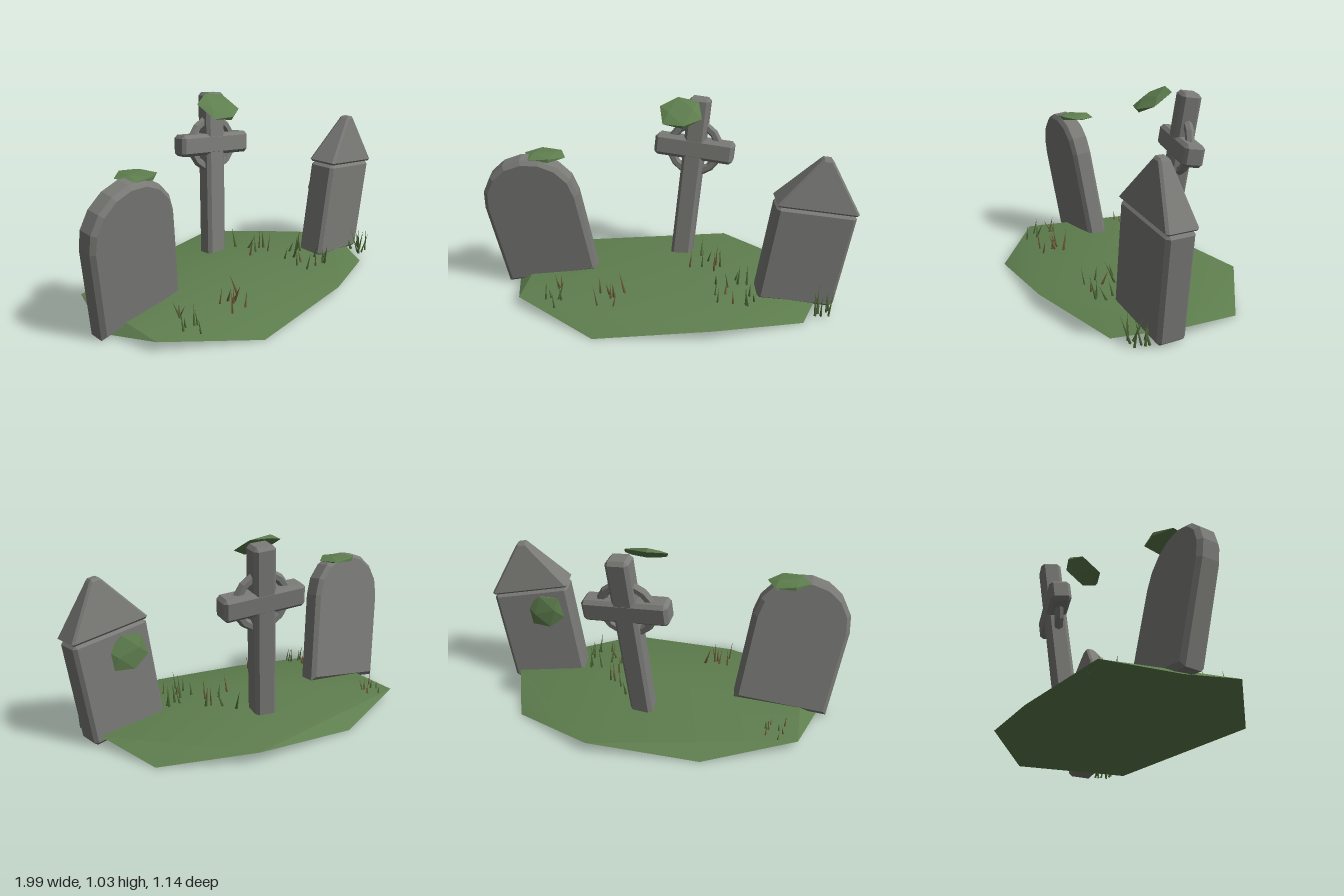
import * as THREE from 'three';
import { toCreasedNormals } from 'three/addons/utils/BufferGeometryUtils.js';
import { ConvexGeometry } from 'three/addons/geometries/ConvexGeometry.js';

const material = (name, color) => {
  const m = new THREE.MeshStandardMaterial({ color });
  m.name = name;
  return m;
};

function addMesh(parent, name, geometry, mat) {
  const mesh = new THREE.Mesh(geometry, mat);
  mesh.name = name;
  parent.add(mesh);
  return mesh;
}

function addGroup(parent, name, position, rotation) {
  const g = new THREE.Group();
  g.name = name;
  g.position.set(...position);
  g.rotation.set(...rotation);
  parent.add(g);
  return g;
}

// Chamfered block standing on y = 0, optionally tapering to a smaller top
function block(w, d, h, bevel, topW = w, topD = d) {
  const points = [];
  for (const sx of [-1, 1]) for (const sz of [-1, 1]) for (const top of [0, 1]) {
    const x = (top ? topW : w) / 2, z = (top ? topD : d) / 2;
    const y = top ? h : 0, yIn = top ? h - bevel : bevel;
    points.push(
      new THREE.Vector3(sx * (x - bevel), y, sz * (z - bevel)),
      new THREE.Vector3(sx * x, yIn, sz * (z - bevel)),
      new THREE.Vector3(sx * (x - bevel), yIn, sz * z));
  }
  return new ConvexGeometry(points);
}

const flat = (geometry) => {
  const g = geometry.toNonIndexed();
  g.computeVertexNormals();
  return g;
};

function seeded(seed) {
  return () => (seed = (seed * 16807) % 2147483647) / 2147483647;
}

export function createModel() {
  const model = new THREE.Group();
  model.name = 'graveyard';
  const stone = material('grey stone', 0x7a7a77);
  const turf = material('turf green', 0x5e7e4e);
  const green = material('grass green', 0x4c6636);
  const dry = material('dry grass', 0x6e5a36);

  // Low mound: an apex, with rim corners alternating between raised and ground level
  const rim = [
    [0.28, 0.52], [0.74, 0.31], [0.86, 0], [0.73, -0.34], [0.29, -0.575],
    [-0.3, -0.54], [-0.78, -0.35], [-0.87, -0.01], [-0.78, 0.31], [-0.33, 0.57],
  ];
  const moundPoints = rim.map(([x, z], i) => new THREE.Vector3(x, i % 2 ? 0 : 0.056, z));
  moundPoints.push(new THREE.Vector3(0, 0.135, 0));
  addMesh(model, 'mound', toCreasedNormals(new ConvexGeometry(moundPoints), 0.4), turf);

  // Round-topped headstone
  const arched = addGroup(model, 'archedHeadstone', [-0.665, 0.047, -0.01], [0.125, 0.1, 0.148]);
  const outline = new THREE.Shape();
  outline.moveTo(-0.257, 0);
  outline.lineTo(0.257, 0);
  outline.lineTo(0.257, 0.5);
  for (let i = 1; i <= 8; i++) {
    const a = (i / 8) * Math.PI;
    outline.lineTo(0.257 * Math.cos(a), 0.5 + 0.25 * Math.sin(a));
  }
  const slab = new THREE.ExtrudeGeometry(outline, {
    depth: 0.075, bevelEnabled: true, bevelSegments: 1,
    bevelThickness: 0.02, bevelSize: 0.022, bevelOffset: -0.022,
  });
  slab.translate(0, 0, -0.0375);
  addMesh(arched, 'archedSlab', slab, stone);

  // Headstone with a pointed cap
  const pointed = addGroup(model, 'pointedHeadstone', [0.69, 0.033, 0.1], [0.02, 0.13, -0.15]);
  addMesh(pointed, 'pointedBody', block(0.42, 0.15, 0.55, 0.018), stone);
  addMesh(pointed, 'pointedCap', block(0.43, 0.165, 0.27, 0.012, 0.065, 0.062), stone)
    .position.y = 0.55;

  // Ringed cross, leaning back
  const cross = addGroup(model, 'ringedCross', [0.045, 0.0, -0.235], [-0.125, -0.1, -0.095]);
  addMesh(cross, 'crossShaft', block(0.12, 0.11, 0.98, 0.018), stone).position.y = 0.04;
  const arms = addMesh(cross, 'crossArms', block(0.12, 0.112, 0.45, 0.018), stone);
  arms.rotation.z = Math.PI / 2;
  arms.position.set(0.225, 0.73, 0);
  addMesh(cross, 'crossRing', flat(new THREE.TorusGeometry(0.138, 0.025, 6, 16)), stone)
    .position.y = 0.73;

  // Flattened moss clumps: position, size, rotation
  const mossGeometry = flat(new THREE.IcosahedronGeometry(1, 0));
  for (const [position, size, rotation] of [
    [[-0.66, 0.775, 0.03], [0.115, 0.018, 0.11], [0.03, 0.4, -0.05]],
    [[0.045, 0.967, -0.18], [0.125, 0.02, 0.125], [0.55, 0.2, 0]],
    [[0.68, 0.46, 0.028], [0.115, 0.022, 0.11], [-1.5, 0.3, 0]],
  ]) {
    const moss = addMesh(model, 'moss', mossGeometry, turf);
    moss.position.set(...position);
    moss.scale.set(...size);
    moss.rotation.set(...rotation);
  }

  // Grass tufts: x range, z range, blade count, blade height, share of dry blades
  const bladeGeometry = new THREE.ConeGeometry(1, 1, 4);
  bladeGeometry.translate(0, 0.5, 0);
  const random = seeded(4217);
  const between = (a, b) => a + (b - a) * random();
  const grass = addGroup(model, 'grass', [0, 0, 0], [0, 0, 0]);
  for (const [x0, x1, z0, z1, count, height, dryShare] of [
    [-0.71, -0.58, -0.37, -0.19, 8, 0.09, 0.4],
    [-0.66, -0.53, 0.19, 0.39, 8, 0.12, 0.5],
    [-0.37, -0.18, 0.24, 0.39, 7, 0.12, 0.8],
    [0.08, 0.29, -0.22, 0.01, 7, 0.13, 0.5],
    [0.27, 0.49, 0.06, 0.3, 14, 0.13, 0.2],
    [0.77, 0.89, 0.17, 0.25, 8, 0.15, 0],
  ]) {
    for (let i = 0; i < count; i++) {
      const x = between(x0, x1), z = between(z0, z1);
      const y = Math.max(0, 0.125 - 0.09 * Math.hypot(x / 0.87, z / 0.57));
      const blade = addMesh(grass, 'grassBlade', bladeGeometry, random() < dryShare ? dry : green);
      const r = between(0.006, 0.009);
      blade.position.set(x, x > 0.75 ? 0.01 : y, z);
      blade.scale.set(r, height * between(0.6, 1.1), r);
      blade.rotation.set(between(-0.3, 0.3), between(0, 3), between(-0.3, 0.3));
    }
  }
  return model;
}
